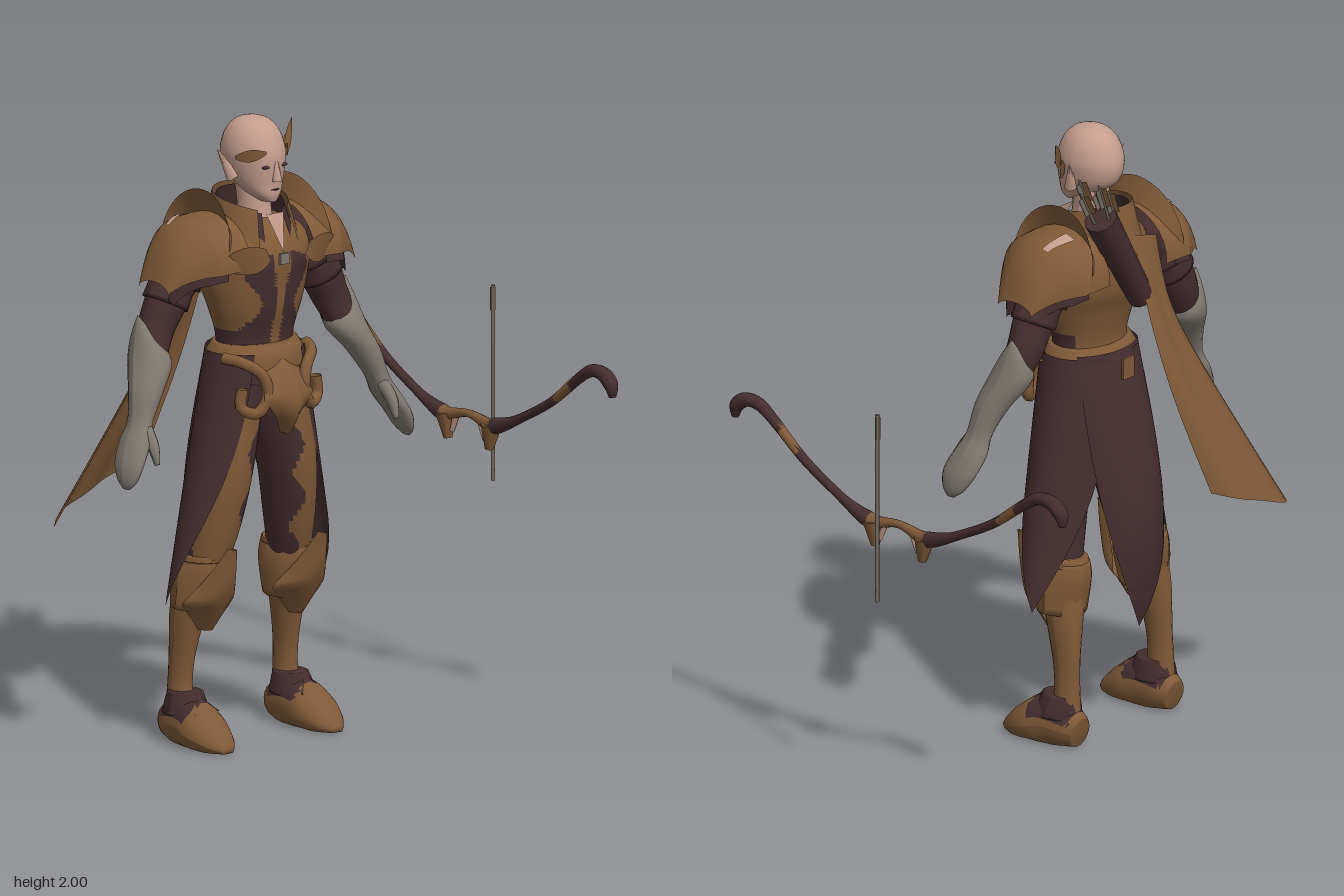
import * as THREE from 'three';
import { ParametricGeometry } from 'three/addons/geometries/ParametricGeometry.js';

const flat = (name, color) => {
  const m = new THREE.MeshStandardMaterial({ color, side: THREE.DoubleSide });
  m.name = name;
  return m;
};
const brown = flat('brown leather', 0x805a38), dark = flat('dark maroon cloth', 0x452d2f);
const grey = flat('grey glove', 0x807970), skin = flat('skin', 0xc49d8c), steel = flat('arrow grey', 0x746c62);
const V = (x, y, z) => new THREE.Vector3(x, y, z);
const { sin, cos, PI, abs, max, min } = Math;

function add(parent, name, geo, mat) {
  const m = new THREE.Mesh(geo, mat);
  m.name = name;
  parent.add(m);
  return m;
}

// Sorts triangles into two material groups; rule(x, y, z) true picks the second material
function paint(geo, rule) {
  const p = geo.attributes.position, ix = geo.index.array, sets = [[], []], c = V(0, 0, 0), q = V(0, 0, 0);
  for (let i = 0; i < ix.length; i += 3) {
    c.set(0, 0, 0);
    for (let k = 0; k < 3; k++) c.add(q.fromBufferAttribute(p, ix[i + k]));
    c.divideScalar(3);
    sets[rule(c.x, c.y, c.z) ? 1 : 0].push(ix[i], ix[i + 1], ix[i + 2]);
  }
  geo.setIndex([...sets[0], ...sets[1]]);
  geo.addGroup(0, sets[0].length, 0);
  geo.addGroup(sets[0].length, sets[1].length, 1);
}

// Open sheet given by f(u, v) -> [x, y, z]
function sheet(parent, name, mat, f, nu = 14, nv = 14) {
  const g = new ParametricGeometry((u, v, t) => t.set(...f(u, v)), nu, nv);
  g.computeVertexNormals();
  return add(parent, name, g, mat);
}

// Smooth interpolation between rings of numbers
function spline(rs, t) {
  const f = t * (rs.length - 1), i = min(Math.floor(f), rs.length - 2), k = f - i;
  const at = j => rs[max(0, min(rs.length - 1, j))];
  return rs[0].map((_, n) => {
    const a = at(i - 1)[n], b = at(i)[n], c = at(i + 1)[n], d = at(i + 2)[n];
    return b + 0.5 * k * (c - a + k * (2 * a - 5 * b + 4 * c - d + k * (3 * (b - c) + d - a)));
  });
}

// Closed body through elliptical rings [x, y, z, side radius, depth radius]
function loft(parent, name, rings, mat, { ref = [0, 0, 1], seg = 20, k = 4, level = false, rule, floor } = {}) {
  const rows = (rings.length - 1) * k + 2, R = V(...ref);
  const g = new ParametricGeometry((u, v, out) => {
    const j = Math.round(v * rows), t = max(0, min(1, (j - 1) / (rows - 2)));
    const r = spline(rings, t), e = 0.01, s = j === 0 || j === rows ? 0 : 1;
    const T = V(...spline(rings, min(1, t + e))).sub(V(...spline(rings, max(0, t - e)))).normalize();
    if (level) T.set(0, -1, 0);
    const B = R.clone().addScaledVector(T, -T.dot(R)).normalize(), A = B.clone().cross(T);
    out.set(r[0], r[1], r[2]).addScaledVector(A, s * max(0, r[3]) * cos(u * 2 * PI));
    out.addScaledVector(B, s * max(0, r[4]) * sin(u * 2 * PI));
    if (floor !== undefined) out.y = max(floor, out.y);
  }, seg, rows);
  g.computeVertexNormals();
  if (rule) paint(g, rule);
  return add(parent, name, g, mat);
}

function rod(parent, name, a, b, r, mat, r2 = r, seg = 8) {
  const m = add(parent, name, new THREE.CylinderGeometry(r2, r, a.distanceTo(b), seg), mat);
  m.position.copy(a).lerp(b, 0.5);
  m.quaternion.setFromUnitVectors(V(0, 1, 0), b.clone().sub(a).normalize());
}

function ball(parent, name, mat, p, s) {
  const m = add(parent, name, new THREE.SphereGeometry(1, 14, 10), mat);
  m.position.set(...p);
  m.scale.set(...s);
}

// Shaft with three feathers of width w at its upper end
function arrow(parent, name, a, b, r, w) {
  const g = new THREE.Group(), len = a.distanceTo(b);
  g.name = name;
  rod(g, 'shaft', V(0, 0, 0), V(0, len, 0), r, steel, r, 6);
  rod(g, 'arrowHead', V(0, 0, 0), V(0, 0.04, 0), 0.001, steel, r * 1.3, 4);
  for (let i = 0; i < 3; i++) {
    const f = add(g, 'feather', new THREE.BoxGeometry(w, 0.075, 0.003).translate(w / 2, len - 0.045, 0), i ? brown : steel);
    f.rotation.y = i * PI * 2 / 3;
  }
  g.position.copy(a);
  g.quaternion.setFromUnitVectors(V(0, 1, 0), b.clone().sub(a).normalize());
  parent.add(g);
}

function head(p) {
  loft(p, 'head', [[0, 2, -.008, .004, .004], [0, 1.985, -.008, .05, .058], [0, 1.95, -.008, .08, .093], [0, 1.9, -.007, .094, .113],
    [0, 1.86, -.005, .092, .115], [0, 1.82, .002, .083, .105], [0, 1.79, .02, .07, .084], [0, 1.76, .042, .05, .063], [0, 1.736, .068, .022, .03]],
    skin, { level: true, seg: 28 });
  loft(p, 'neck', [[0, 1.8, -.01, .055, .06], [0, 1.7, 0, .052, .058], [0, 1.6, 0, .07, .075]], skin);
  rod(p, 'nose', V(0, 1.805, .112), V(0, 1.87, .104), .016, skin, .007, 6);
  ball(p, 'mouth', dark, [0, 1.777, .102], [.018, .003, .006]);
  // Collar standing open at the throat, with a dark lining
  const collar = (name, mat, open, r0, rise) => sheet(p, name, mat, (u, v) => {
    const a = open + u * 2 * (PI - open), r = r0 - .035 * v;
    return [r * sin(a), 1.6 + v * (rise + .06 * abs(sin(a / 2))), r * 1.1 * cos(a) - .02];
  }, 28, 4);
  collar('collar', brown, .55, .15, .1);
  collar('collarLining', dark, .4, .138, .09);
  sheet(p, 'throatPoint', skin, (u, v) => [(u - .5) * .07 * (1 - v), 1.7 - v * .12, .1 + .045 * v], 2, 4);
}

function headSide(p) {
  ball(p, 'eye', dark, [.036, 1.852, .1], [.016, .005, .007]);
  rod(p, 'ear', V(.086, 1.81, 0), V(.125, 1.9, -.03), .022, skin, .002, 6);
  sheet(p, 'circlet', brown, (u, v) => {
    const a = .4 + u * .95;
    return [.1 * sin(a), 1.9 + (v - .5) * .03 * (.3 + sin(PI * u)) - .02 * u, .12 * cos(a) - .005];
  }, 10, 2);
}

function torso(p) {
  loft(p, 'torso', [[0, 1.68, -.03, .08, .09], [0, 1.63, -.02, .18, .13], [0, 1.56, -.01, .2, .15], [0, 1.48, -.01, .19, .145], [0, 1.4, 0, .165, .125],
    [0, 1.29, 0, .135, .1], [0, 1.2, 0, .16, .12], [0, 1.08, 0, .17, .12]], [brown, dark], {
    level: true, seg: 72, k: 8,
    rule: (x, y, z) => y < 1.24 || (z > 0 && y < 1.59 - abs(x) * .3 && abs(x) > .018 + .02 * max(0, (y - 1.45) * 8)
      && abs(x) < .095 + .03 * sin(y * 30)) || (z > -.05 && y < 1.33 && abs(x) > .03),
  });
  const gem = add(p, 'chestGem', new THREE.BoxGeometry(.035, .035, .008), grey);
  gem.position.set(0, 1.562, .146);
  loft(p, 'belt', [[0, 1.285, 0, .145, .112], [0, 1.25, 0, .165, .135], [0, 1.2, 0, .175, .14]], brown, { level: true, seg: 32 });
  // Pointed waist plate
  sheet(p, 'waistPlate', brown, (u, v) => {
    const w = v < .5 ? .06 + .08 * v : .1 * (1 - v) / .5, s = 2 * u - 1;
    return [s * w, 1.25 - .25 * v, .13 + .09 * sin(PI * min(1, v * .85)) - .05 * abs(s)];
  }, 8, 12);
  // Back tail of the skirt and its clasp
  sheet(p, 'tailPanel', dark, (u, v) => {
    const w = .95 * (1 - v ** 2.6) + .001, a = PI + (2 * u - 1) * w;
    const r = .13 + .13 * sin(PI * v * .78);
    return [sin(a) * (.17 + .05 * v), 1.27 - .91 * v, cos(a) * r];
  });
  const clasp = add(p, 'backClasp', new THREE.BoxGeometry(.05, .07, .01), brown);
  clasp.position.set(0, 1.22, -.165);
}

// Shoulder shell: flat on top, dropping to a narrow tip at u = 1
const shell = (x0, x1, y0, y1, w, drop) => (u, a) => {
  const f = u ** 4, s = max(0, u - .45) / .55;
  return [x0 + (x1 - x0) * u, y0 + (y1 - y0) * f - drop * (1 - .8 * f) * (1 - cos(a)), w * (1 - .6 * s) * sin(a) - .035];
};

function armourSide(p) {
  const top = shell(.13, .385, 1.705, 1.515, .175, .15), under = shell(.2, .355, 1.62, 1.46, .15, .1);
  sheet(p, 'pauldron', brown, (u, v) => top(u, (v - .5) * PI * 1.05), 18);
  sheet(p, 'pauldronUnderLayer', dark, (u, v) => under(u, (v - .5) * PI * 1.05));
  sheet(p, 'shoulderMark', skin, (u, v) => {
    const [x, y, z] = top(.25 + .38 * u, -.5 + .24 * v * (1 - .3 * u) + .1 * u);
    return [x, y + .005, z];
  }, 6, 4);
  // Upright rim between neck and shoulder
  sheet(p, 'shoulderRim', brown, (u, v) => {
    const a = PI * u;
    return [.145 + .035 * (1 - sin(a)) + .035 * v, 1.56 + (.13 + .09 * v) * sin(a) ** .8, -.04 - (.15 + .02 * v) * cos(a)];
  }, 18, 3);
  sheet(p, 'chestLeaf', brown, (u, v) => {
    const w = .045 * sin(PI * (.15 + .85 * v));
    return [.08 + .17 * v + (u - .5) * w, 1.59 - .03 * v + (u - .5) * w * 2, .165 - .07 * v * v];
  }, 6, 10);
  // Arm, sleeve bands, glove and hand
  loft(p, 'arm', [[.18, 1.62, -.05, .08, .075], [.27, 1.51, -.055, .078, .068], [.32, 1.43, -.055, .07, .062], [.36, 1.35, -.055, .06, .057],
    [.4, 1.26, -.03, .05, .05]], dark);
  for (let i = 0; i < 2; i++) loft(p, 'sleeveBand', [[.25 + i * .04, 1.55 - i * .06, -.055, .075, .07],
    [.28 + i * .04, 1.49 - i * .06, -.055, .09 - i * .01, .08 - i * .01]], dark);
  loft(p, 'glove', [[.425, 1.405, -.062, .002, .003], [.412, 1.34, -.052, .034, .045], [.4, 1.265, -.035, .068, .074], [.445, 1.18, 0, .054, .06],
    [.485, 1.09, .02, .036, .046], [.515, 1.03, .03, .038, .062], [.55, .97, .045, .03, .064], [.567, .92, .055, .02, .045], [.575, .892, .06, .006, .015]],
    grey, { level: true, seg: 14 });
  loft(p, 'thumb', [[.485, 1.07, .05, .02, .022], [.49, 1.02, .09, .018, .02], [.49, .965, .11, .008, .01]], grey, { seg: 10 });
}

function legSide(p) {
  // Trouser leg with a wavy leather front, then the boot shaft
  loft(p, 'thigh', [[.085, 1.16, 0, .085, .11], [.11, 1.02, 0, .095, .11], [.135, .85, 0, .085, .105], [.155, .7, -.015, .078, .09], [.175, .56, -.04, .065, .07]],
    [dark, brown], { seg: 40, k: 8, rule: (x, y, z) => z > -.02 && y < 1.06 && x > .1 + (.9 - y) * .1 + .02 * sin(y * 35) });
  loft(p, 'bootShaft', [[.178, .6, -.045, .072, .08], [.19, .5, -.065, .066, .075], [.205, .4, -.085, .052, .062], [.213, .27, -.1, .036, .048],
    [.216, .17, -.105, .036, .046], [.218, .08, -.1, .048, .056]], brown);
  loft(p, 'bootCuff', [[.178, .6, -.055, .07, .1], [.18, .54, -.055, .085, .1], [.19, .43, -.06, .085, .075]], brown, { seg: 10 });
  loft(p, 'kneeBand', [[.178, .61, -.05, .072, .09], [.178, .59, -.05, .075, .095]], brown);
  sheet(p, 'kneeGuard', brown, (u, v) => {
    const s = 2 * u - 1, w = .008 + .09 * (v < .55 ? v / .55 : 1 - .8 * (v - .55) / .45);
    return [.185 + s * w, .648 - .28 * v - .07 * abs(s) * sin(PI * v) * (1 - v), .135 - .125 * v + .025 * sin(PI * v) - .11 * s * s * (.3 + sin(PI * v) * .7)];
  });
  loft(p, 'foot', [[.218, .05, -.163, .04, .05], [.218, .06, -.12, .06, .07], [.22, .065, -.04, .074, .085], [.224, .045, .03, .08, .068],
    [.224, .02, .1, .056, .038], [.224, .006, .142, .02, .01]], [brown, dark],
    { ref: [0, 1, 0], floor: 0, k: 6, rule: (x, y, z) => z < .01 && z > -.15 && y > .085 + max(0, z) * 3 });
  loft(p, 'ankleCuff', [[.216, .165, -.08, .05, .065], [.218, .125, -.075, .062, .08], [.219, .095, -.07, .07, .085]], dark, { seg: 10, level: true });
  sheet(p, 'anklePoint', dark, (u, v) => [.218 + (u - .5) * .1 * (1 - v), .11 + .05 * v, .03 - .045 * v], 3, 3);
  // Long pointed side panel of the skirt
  sheet(p, 'sidePanel', dark, (u, v) => {
    const w = 1.12 * (1 - v ** 2.2) + .001, a = 1.72 + .12 * v + (2 * u - 1) * w;
    return [sin(a) * (.168 + .165 * v), 1.26 - .805 * v, cos(a) * (.138 + .01 * sin(PI * v)) - .015 * v];
  }, 18, 18);
  // Curled belt horn
  const curl = new THREE.CatmullRomCurve3([V(.17, 1.25, .05), V(.14, 1.24, .11), V(.09, 1.2, .145), V(.075, 1.13, .155), V(.11, 1.08, .145), V(.155, 1.1, .12), V(.15, 1.16, .12)]);
  add(p, 'beltHorn', new THREE.TubeGeometry(curl, 28, .019, 8), brown);
}

function backGear(p) {
  // Quiver slung over the left shoulder
  rod(p, 'quiver', V(-.04, 1.45, -.185), V(.17, 1.78, -.205), .042, dark, .054, 12);
  for (let i = 0; i < 5; i++) {
    const a = i * 1.257, x = .03 * cos(a), z = .03 * sin(a);
    arrow(p, 'quiverArrow', V(.1 + x, 1.66, -.195 + z), V(.2 + x * 1.7, 1.88 + .03 * sin(i * 2), -.2 + z * 1.5), .005, .02);
  }
  // Wing feathers beside the left temple
  for (let i = 0; i < 2; i++) sheet(p, 'templeFeather', brown, (u, v) => {
    const w = .028 * sin(PI * (.2 + .8 * v));
    return [.095 + (.06 - i * .01) * v + (u - .5) * w * .8, 1.87 - i * .03 + (.1 - i * .02) * v - (u - .5) * w, .04 - i * .015 - .04 * v];
  }, 3, 6);
  // Cape blown towards the right side
  const left = [[-.02, 1.66, -.17], [-.02, 1.4, -.24], [-.05, 1.13, -.32], [-.13, .82, -.4]];
  const right = [[-.13, 1.63, -.165], [-.17, 1.4, -.19], [-.28, 1.15, -.24], [-.51, .68, -.37]];
  sheet(p, 'cape', brown, (u, v) => {
    const a = spline(right, v), b = spline(left, v), wave = v * (.065 * sin(u * PI) + .015 * sin(u * PI * 3));
    return [a[0] + (b[0] - a[0]) * u, a[1] + (b[1] - a[1]) * u, a[2] + (b[2] - a[2]) * u - wave];
  }, 20, 20);
}

function bow(p) {
  const half = [[.09, .885, .02], [.13, .885, .026], [.18, .9, .021], [.25, .93, .015], [.4, 1.01, .015], [.52, 1.1, .017], [.59, 1.145, .02],
    [.65, 1.148, .023], [.69, 1.12, .024], [.698, 1.08, .012]].map(([z, y, r]) => [.68, y, z, r, r]);
  const rings = [...half.map(([x, y, z, a, b]) => [x, y, -z, a, b]).reverse(), [.68, .902, 0, .013, .013], ...half];
  loft(p, 'bow', rings, [dark, brown], { ref: [1, 0, 0], seg: 10, k: 5, rule: (x, y, z) => abs(z) < .12 || (abs(z) > .43 && abs(z) < .5) });
  for (const s of [1, -1]) {
    rod(p, 'bowGuard', V(.68, .805, s * .1), V(.68, .885, s * .11), .014, brown, .034, 8);
    rod(p, 'bowGuardTip', V(.68, .83, s * .08), V(.68, .885, s * .06), .008, skin, .012, 6);
  }
}

export function createModel() {
  const model = new THREE.Group(), figure = new THREE.Group();
  model.name = 'archer';
  figure.name = 'figure';
  figure.position.x = -.2;
  model.add(figure);
  head(figure);
  torso(figure);
  backGear(figure);
  for (const s of [1, -1]) {
    const side = new THREE.Group();
    side.name = s > 0 ? 'leftSide' : 'rightSide';
    side.scale.x = s;
    headSide(side);
    armourSide(side);
    legSide(side);
    figure.add(side);
  }
  bow(model);
  arrow(model, 'looseArrow', V(.78, .67, 0), V(.78, 1.3, 0), .007, .01);
  return model;
}
